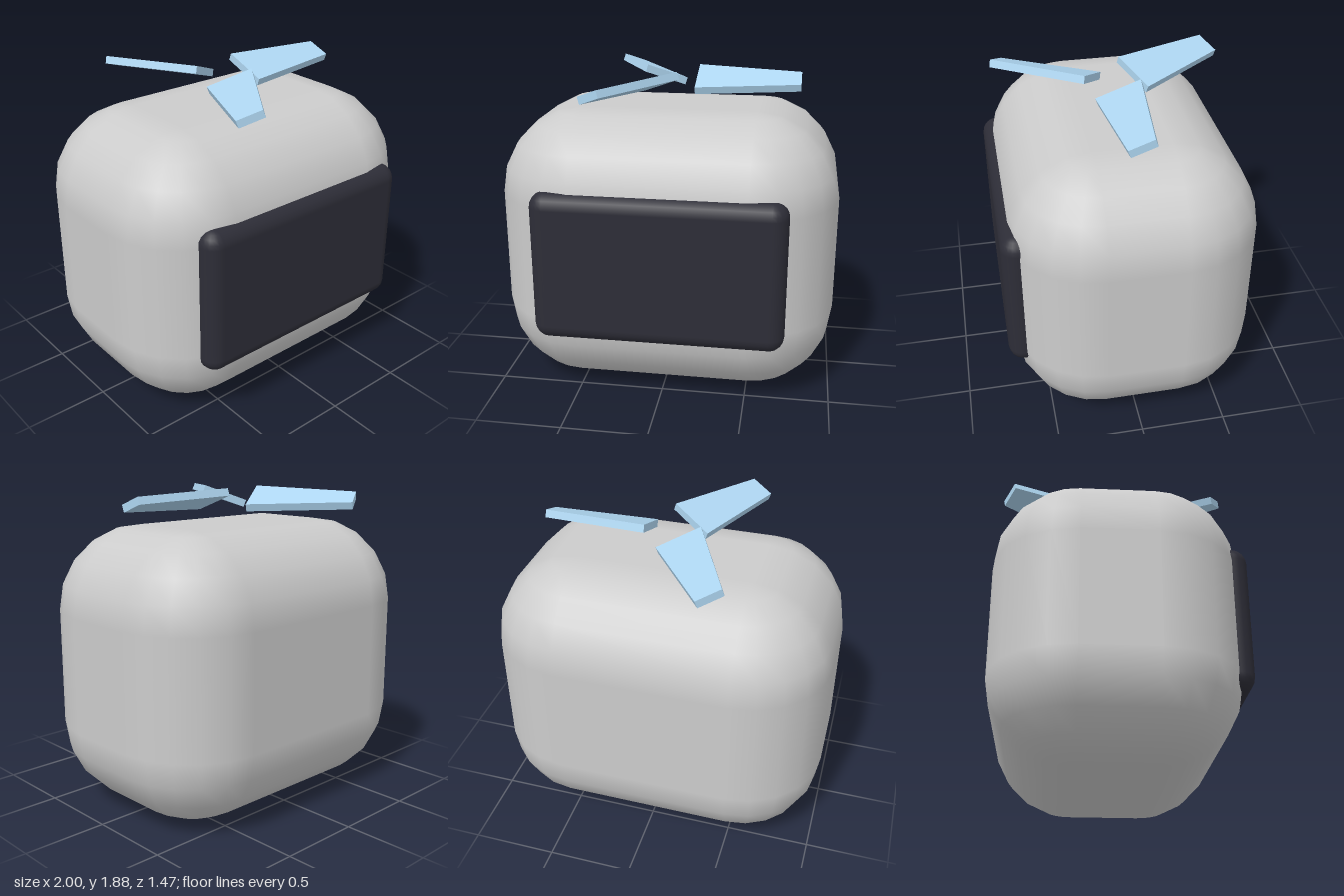
import * as THREE from 'three';

const STEPS = 5; // facets per rounded quarter

// Box with rounded edges and corners: a sphere grid whose octants are pushed apart
function roundedBlock(hx, hy, hz, r) {
  const n = STEPS + 1, cols = 4 * n, rows = 2 * n + 1;
  const geo = new THREE.SphereGeometry(1, cols, rows);
  const pos = geo.attributes.position, nor = geo.attributes.normal;
  const quarter = Math.PI / 2;
  for (let iy = 0; iy <= rows; iy++) {
    const cap = iy === 0 || iy === rows; // centre of the flat top or bottom
    const lower = iy > n;
    const step = THREE.MathUtils.clamp(lower ? iy - n - 1 : iy - 1, 0, STEPS);
    const v = ((lower ? 1 : 0) + step / STEPS) * quarter;
    for (let ix = 0; ix <= cols; ix++) {
      const q = Math.floor(ix / n) % 4;
      const u = (q + (ix % n) / STEPS) * quarter;
      const mid = (q + 0.5) * quarter;
      const nx = -Math.cos(u) * Math.sin(v), ny = Math.cos(v), nz = Math.sin(u) * Math.sin(v);
      const i = iy * (cols + 1) + ix;
      nor.setXYZ(i, nx, ny, nz);
      pos.setXYZ(i,
        cap ? 0 : -Math.sign(Math.cos(mid)) * (hx - r) + nx * r,
        (lower ? -1 : 1) * (hy - r) + ny * r,
        cap ? 0 : Math.sign(Math.sin(mid)) * (hz - r) + nz * r);
    }
  }
  return geo;
}

// Flat blade along +x, narrowing to its tip and pitched about its length
function bladeGeometry(inner, outer, rootWidth, tipWidth, thickness, pitch) {
  const geo = new THREE.BoxGeometry(outer - inner, thickness, 1);
  const pos = geo.attributes.position;
  for (let i = 0; i < pos.count; i++) {
    pos.setZ(i, pos.getZ(i) * (pos.getX(i) < 0 ? rootWidth : tipWidth));
  }
  geo.computeVertexNormals();
  return geo.rotateX(pitch).translate((inner + outer) / 2, 0, 0);
}

export function createModel() {
  const model = new THREE.Group();
  model.name = 'propellerHead';
  const grey = new THREE.MeshStandardMaterial({ color: 0xcccccc });
  const dark = new THREE.MeshStandardMaterial({ color: 0x2d2d37 });
  const blue = new THREE.MeshStandardMaterial({ color: 0xaed6f1 });

  // Rounded body
  const body = new THREE.Mesh(roundedBlock(1, 0.8375, 0.712, 0.495), grey);
  body.name = 'body';
  body.position.set(0, 0.8375, -0.02);
  model.add(body);

  // Dark screen on the front
  const screen = new THREE.Mesh(roundedBlock(0.725, 0.443, 0.1, 0.09), dark);
  screen.name = 'screen';
  screen.position.set(0, 0.841, 0.635);
  model.add(screen);

  // Three blades floating above the body
  const propeller = new THREE.Group();
  propeller.name = 'propeller';
  propeller.position.set(0, 1.8125, -0.02);
  const geo = bladeGeometry(0.135, 0.75, 0.275, 0.15, 0.045, 0.35);
  for (let i = 0; i < 3; i++) {
    const blade = new THREE.Mesh(geo, blue);
    blade.name = 'blade' + (i + 1);
    blade.rotation.y = (i * Math.PI * 2) / 3;
    propeller.add(blade);
  }
  model.add(propeller);
  return model;
}
